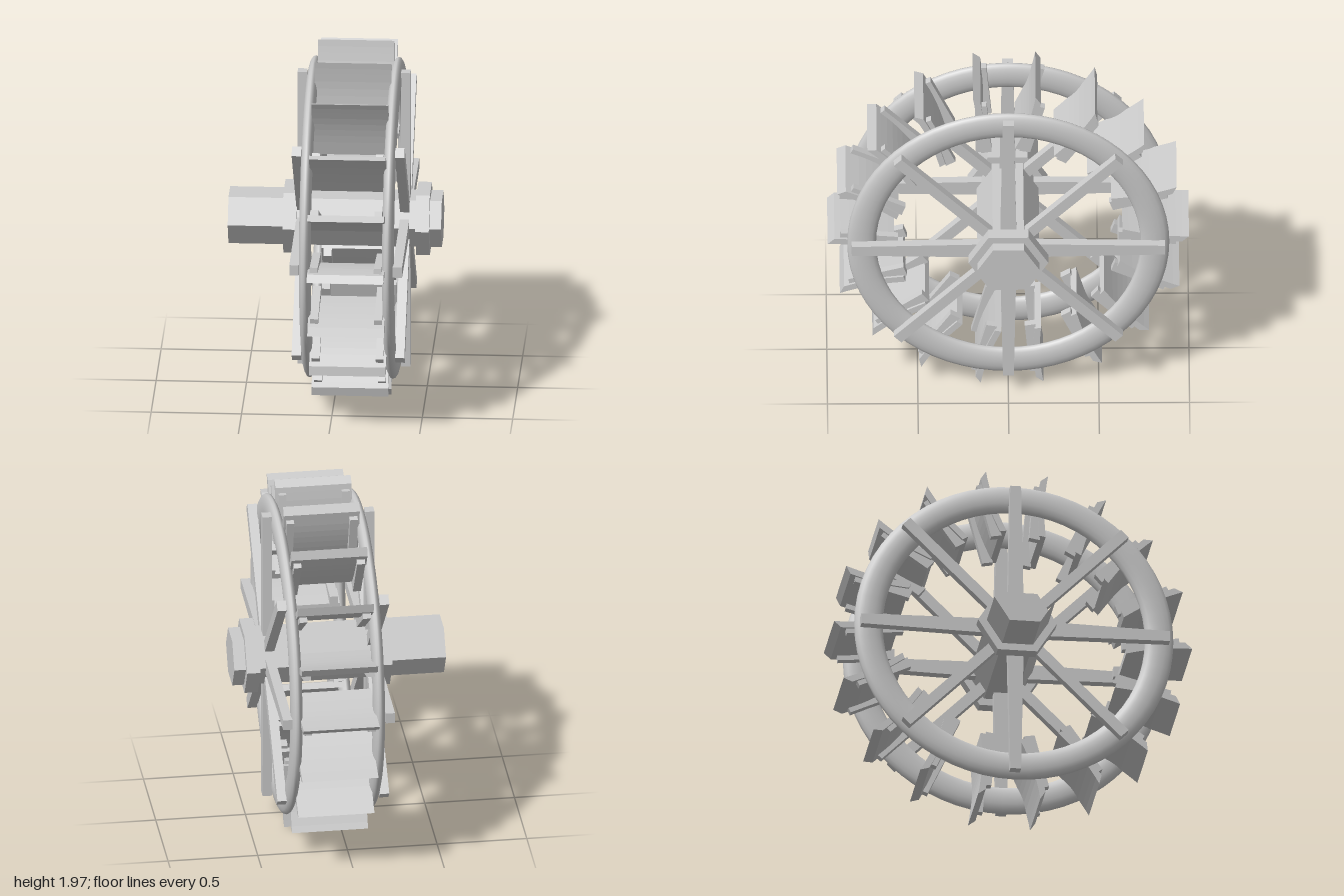
import * as THREE from 'three';

const mat = new THREE.MeshStandardMaterial({ color: 0xcccccc });
const flat = new THREE.MeshStandardMaterial({ color: 0xcccccc, flatShading: true });

function add(parent, name, geometry, material = flat) {
  const mesh = new THREE.Mesh(geometry, material);
  mesh.name = name;
  parent.add(mesh);
  return mesh;
}

// Six-sided bar along x, slightly wider than regular in z
function hexBar(radius, x0, x1, open) {
  const g = new THREE.CylinderGeometry(radius, radius, x1 - x0, 6, 1, open);
  g.rotateZ(-Math.PI / 2);
  g.scale(1, 1, 1.09);
  return g.translate((x0 + x1) / 2, 0, 0);
}

// Outline of (radius, tangent) points, extruded across x
function slab(points, x0, x1) {
  const shape = new THREE.Shape(points.map(([u, t]) => new THREE.Vector2(u, t)));
  const g = new THREE.ExtrudeGeometry(shape, { depth: x1 - x0, bevelEnabled: false });
  return g.rotateY(-Math.PI / 2).translate(x1, 0, 0);
}

export function createModel() {
  const model = new THREE.Group();
  model.name = 'waterWheel';
  const wheel = new THREE.Group();
  wheel.name = 'wheel';
  wheel.position.y = 0.99;
  model.add(wheel);

  // Axle: open at the long end, closed at the short end
  add(wheel, 'axle', hexBar(0.157, -0.595, 0.56, true));
  const end = hexBar(0.157, 0.56, 0.585, false);
  add(wheel, 'axleEnd', end);
  add(wheel, 'collarRight', hexBar(0.202, -0.29, -0.213, false));
  add(wheel, 'collarLeft', hexBar(0.202, 0.445, 0.52, false));

  // Rims: tori flattened across the axle
  for (const x of [-0.133, 0.327]) {
    const rim = new THREE.TorusGeometry(0.81, 0.08, 16, 64);
    rim.rotateY(Math.PI / 2).scale(0.41, 1, 1);
    add(wheel, 'rim', rim, mat).position.x = x;
  }

  // Spokes: eight tapered bars outside each rim
  for (const [x, length] of [[-0.19, 0.86], [0.382, 0.865]]) {
    for (let i = 0; i < 8; i++) {
      const w = i % 2 ? 0.03 : 0.045;
      const spoke = slab([[0.1, -w], [length, -0.03], [length, 0.03], [0.1, w]], x - 0.026, x + 0.026);
      add(wheel, 'spoke', spoke).rotation.x = -i * Math.PI / 4;
    }
  }

  // Paddles: a curved board with a post near each end
  const curve = new THREE.SplineCurve([
    [0.63, -0.055], [0.74, -0.028], [0.85, -0.01], [0.96, -0.004],
  ].map(([u, t]) => new THREE.Vector2(u, t)));
  const line = curve.getPoints(8);
  const lower = line.map(p => [p.x, p.y - 0.018]);
  const upper = line.map(p => [p.x, p.y + 0.018]).reverse();
  const board = slab([...lower, [0.998, -0.022], ...upper], -0.113, 0.311);
  const post = [[0.61, -0.045], [0.93, 0.005], [0.925, 0.042], [0.61, 0.015]];
  const posts = [[-0.1, -0.055], [0.255, 0.297]].map(([a, b]) => slab(post, a, b));

  for (let i = 0; i < 18; i++) {
    const paddle = new THREE.Group();
    paddle.name = 'paddle';
    paddle.rotation.x = -i * Math.PI / 9;
    add(paddle, 'paddleBoard', board);
    posts.forEach(g => add(paddle, 'paddlePost', g));
    wheel.add(paddle);
  }
  return model;
}
